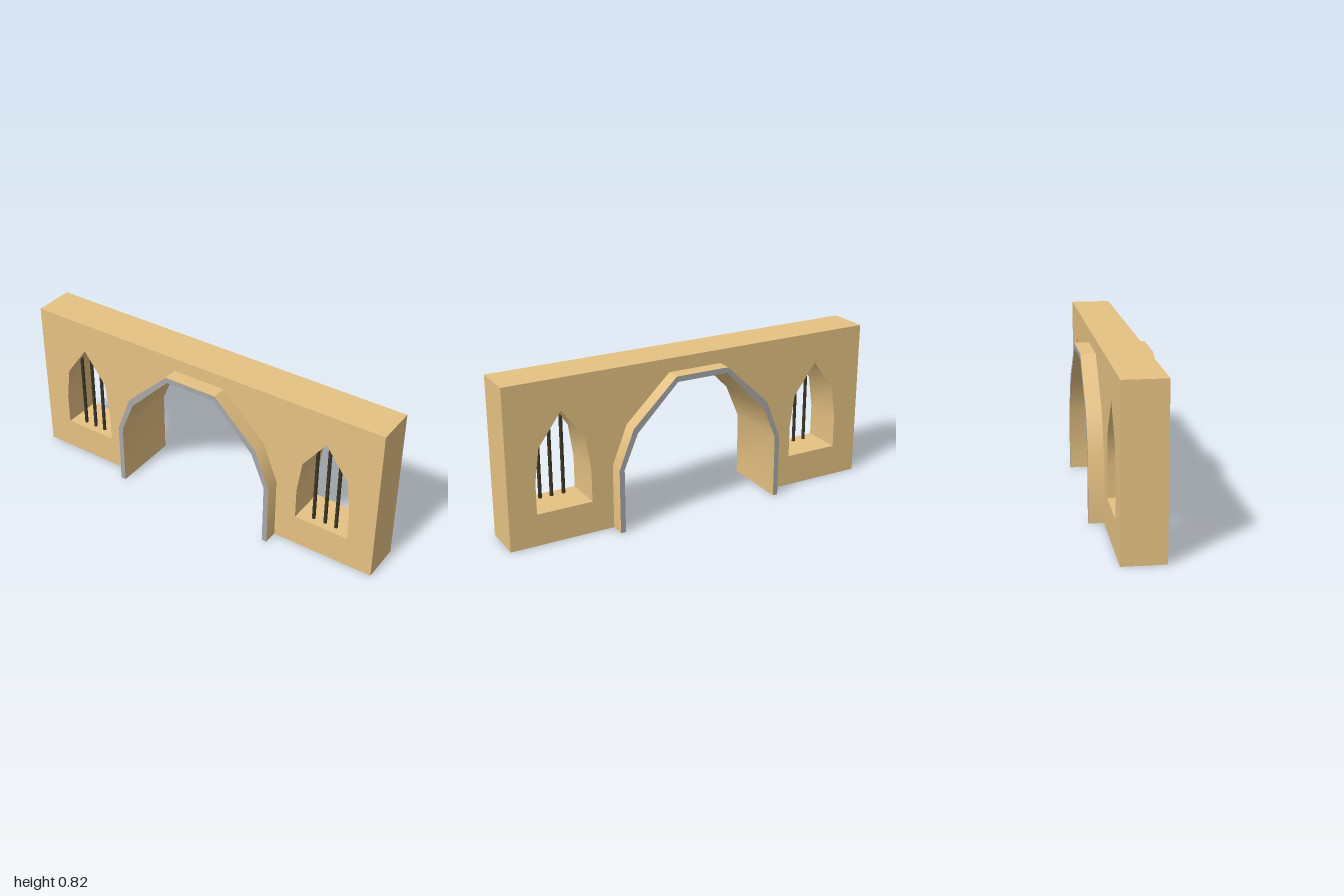
import * as THREE from 'three';
import { toCreasedNormals } from 'three/addons/utils/BufferGeometryUtils.js';

const stone = new THREE.MeshStandardMaterial({ color: 0xe6c283 });
const rimGrey = new THREE.MeshStandardMaterial({ color: 0xa8a8a8 });
const iron = new THREE.MeshStandardMaterial({ color: 0x3d3526 });

const HEIGHT = 0.825;
const WALL_DEPTH = 0.21;
const ARCH_DEPTH = 0.36;

// Right half of an arch, ground to crown
const outerArch = [[0.457, 0], [0.457, 0.33], [0.378, 0.53], [0.143, 0.755]];
const innerArch = [[0.43, 0], [0.43, 0.33], [0.356, 0.505], [0.136, 0.727]];

// Half outline of a pointed window, relative to its centre line
const windowHalf = [[0.144, 0.165], [0.144, 0.33], [0.12, 0.5]];
const windowCentres = [-0.717, 0.714];

const vec = (points) => points.map(([x, y]) => new THREE.Vector2(x, y));

// Full outline running from the right foot over the top to the left foot
function mirrored(half, apex = []) {
  const left = half.map(([x, y]) => [-x, y]).reverse();
  return [...half, ...apex, ...left];
}

// Extrude centred on z = 0, softening only the shallow corners
function extrude(shape, depth) {
  const geometry = new THREE.ExtrudeGeometry(shape, { depth, bevelEnabled: false });
  geometry.translate(0, 0, -depth / 2);
  return toCreasedNormals(geometry, THREE.MathUtils.degToRad(30));
}

function addMesh(parent, name, geometry, material) {
  const mesh = new THREE.Mesh(geometry, material);
  mesh.name = name;
  parent.add(mesh);
  return mesh;
}

export function createModel() {
  const model = new THREE.Group();
  model.name = 'archedWall';

  // Wall with the gateway cut out of its lower edge and two pointed windows
  const wallShape = new THREE.Shape(vec([
    [1, 0], [1, HEIGHT], [-1, HEIGHT], [-1, 0],
    ...mirrored(outerArch).reverse(),
  ]));
  for (const cx of windowCentres) {
    const outline = mirrored(windowHalf, [[0, 0.663]]).map(([x, y]) => [x + cx, y]);
    wallShape.holes.push(new THREE.Path(vec(outline)));
  }
  addMesh(model, 'wall', extrude(wallShape, WALL_DEPTH), stone);

  // Arch lining: grey end faces, stone inside and outside
  const liningShape = new THREE.Shape(vec([
    ...mirrored(outerArch), ...mirrored(innerArch).reverse(),
  ]));
  addMesh(model, 'archLining', extrude(liningShape, ARCH_DEPTH), [rimGrey, stone]);

  // Three iron bars near the front of each window, sunk into the stone
  windowCentres.forEach((cx, i) => {
    const bars = new THREE.Group();
    bars.name = i === 0 ? 'rightWindowBars' : 'leftWindowBars';
    for (const offset of [-0.064, 0, 0.06]) {
      const bottom = 0.155;
      const top = offset === 0 ? 0.67 : 0.6;
      const geometry = new THREE.CylinderGeometry(0.009, 0.009, top - bottom, 10);
      const bar = addMesh(bars, 'windowBar', geometry, iron);
      bar.position.set(cx + offset, (top + bottom) / 2, 0.06);
    }
    model.add(bars);
  });

  return model;
}
